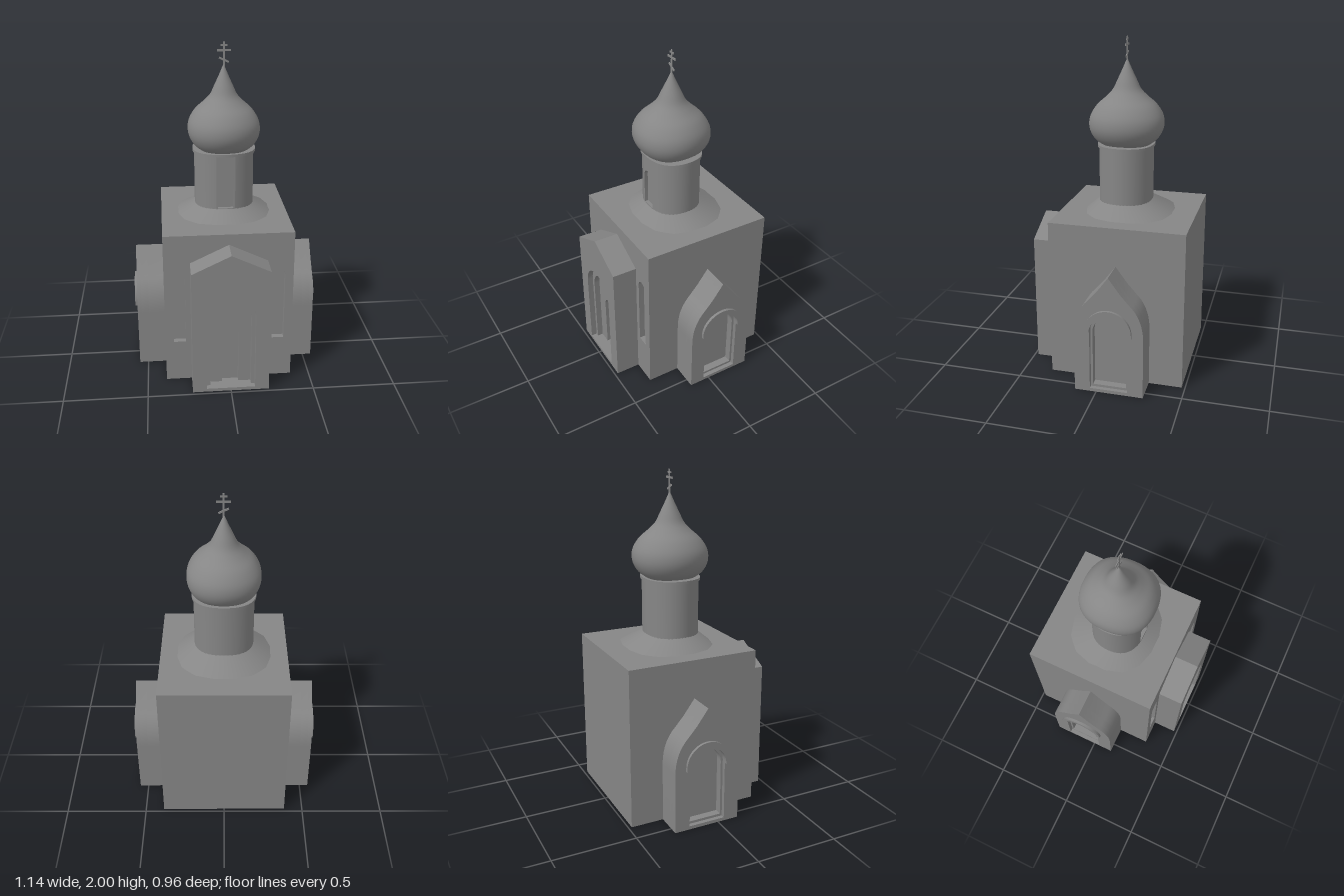
import * as THREE from 'three';
import { toCreasedNormals } from 'three/addons/utils/BufferGeometryUtils.js';

const material = new THREE.MeshStandardMaterial({ color: 0x868686 });

function add(parent, name, geometry) {
  const mesh = new THREE.Mesh(geometry, material);
  mesh.name = name;
  parent.add(mesh);
  return mesh;
}

function box(parent, name, w, h, d, x, y, z) {
  const mesh = add(parent, name, new THREE.BoxGeometry(w, h, d));
  mesh.position.set(x, y, z);
  return mesh;
}

function polygon(points) {
  return new THREE.Shape(points.map(([x, y]) => new THREE.Vector2(x, y)));
}

// Arched opening; a smaller tip makes the head more pointed
function arch(half, bottom, spring, top, cx = 0, tip = 0.55) {
  const rise = spring + (top - spring) * 0.55;
  const s = new THREE.Shape();
  s.moveTo(cx - half, bottom);
  s.lineTo(cx + half, bottom);
  s.lineTo(cx + half, spring);
  s.bezierCurveTo(cx + half, rise, cx + half * tip, top, cx, top);
  s.bezierCurveTo(cx - half * tip, top, cx - half, rise, cx - half, spring);
  s.closePath();
  return s;
}

function slab(outline, holes, depth) {
  const shape = outline.clone();
  shape.holes = holes;
  const geometry = new THREE.ExtrudeGeometry(shape, { depth, bevelEnabled: false, curveSegments: 10 });
  return toCreasedNormals(geometry, 0.5);
}

// Stacks slabs backwards from the front plane, giving stepped recesses
function layered(parent, name, outline, front, layers) {
  let z = front;
  for (const [depth, ...holes] of layers) {
    z -= depth;
    add(parent, name, slab(outline, holes, depth)).position.z = z;
  }
}

// Swells a round form on its diagonals, towards a rounded square
function squarish(geometry) {
  const p = geometry.attributes.position;
  for (let i = 0; i < p.count; i++) {
    const x = p.getX(i), z = p.getZ(i);
    const k = 1 + 0.03 * (1 - Math.cos(4 * Math.atan2(x, z)));
    p.setXYZ(i, x * k, p.getY(i), z * k);
  }
  return geometry;
}

function sidePorch(side) {
  const porch = new THREE.Group();
  porch.name = side > 0 ? 'leftSidePorch' : 'rightSidePorch';

  // Rounded shoulders rising to a straight pointed gable
  const s = new THREE.Shape();
  s.moveTo(-0.205, 0);
  s.lineTo(0.205, 0);
  s.lineTo(0.205, 0.36);
  s.quadraticCurveTo(0.205, 0.5, 0.125, 0.578);
  s.lineTo(0.07, 0.64);
  s.lineTo(0, 0.735);
  s.lineTo(-0.07, 0.64);
  s.lineTo(-0.125, 0.578);
  s.quadraticCurveTo(-0.205, 0.5, -0.205, 0.36);
  s.closePath();
  layered(porch, 'porchWall', s, 0.553, [
    [0.025, arch(0.113, 0.02, 0.39, 0.502, 0, 0.4)],
    [0.045, arch(0.1, 0.035, 0.38, 0.488, 0, 0.35)],
    [0.11]
  ]);

  // Raised band over the niche
  const outer = arch(0.137, 0.375, 0.4, 0.535);
  const inner = arch(0.113, 0.375, 0.39, 0.502, 0, 0.4);
  const band = polygon([
    ...outer.getPoints(10).slice(1, -1).map(p => [p.x, p.y]),
    [-0.137, 0.375],
    ...inner.getPoints(10).slice(0, -1).reverse().slice(0, -1).map(p => [p.x, p.y]),
    [0.113, 0.375]
  ].filter(([x, y], i, all) => !i || Math.hypot(x - all[i - 1][0], y - all[i - 1][1]) > 1e-5));
  add(porch, 'archBand', slab(band, [], 0.02)).position.z = 0.549;

  porch.rotation.y = side * Math.PI / 2;
  porch.position.z = -0.075;
  return porch;
}

function tower() {
  const group = new THREE.Group();
  group.name = 'tower';
  group.position.z = -0.046;
  const R = 0.178, flatten = 0.89, facet = Math.PI / 8;

  // Skirt blending into the drum, its foot a sixteen-sided ring set further back
  const skirt = squarish(new THREE.LatheGeometry(
    [[0.288, 0.965], [R, 1.035], [R, 1.039]].map(([x, y]) => new THREE.Vector2(x, y)), 48, facet / 2));
  const p = skirt.attributes.position;
  for (let i = 0; i < p.count; i++) {
    const x = p.getX(i), z = p.getZ(i);
    if (p.getY(i) > 1) {
      p.setZ(i, z * flatten);
      continue;
    }
    const angle = Math.atan2(x, z);
    const off = angle - Math.round(angle / facet) * facet;
    const k = Math.cos(facet / 2) / Math.cos(off);
    p.setX(i, x * k);
    p.setZ(i, z * k * 0.935 - 0.028);
  }
  add(group, 'drumSkirt', skirt);

  // Drum wall, open where the window panel sits
  const drum = new THREE.Group();
  drum.name = 'drum';
  drum.scale.z = flatten;
  group.add(drum);
  const half = 0.055, gap = Math.asin(half / R);
  add(drum, 'drumWall', squarish(new THREE.LatheGeometry(
    [new THREE.Vector2(R, 1.035), new THREE.Vector2(R, 1.37)], 44, gap, 2 * Math.PI - 2 * gap)));

  // Window panel bent to the curve of the drum
  const steps = [-1, -0.75, -0.5, -0.25, 0, 0.25, 0.5, 0.75, 1].map(t => t * half);
  const outline = polygon([
    ...steps.map(x => [x, 1.03]), ...steps.map(x => [-x, 1.37])
  ]);
  const panel = slab(outline, [arch(0.045, 1.04, 1.23, 1.275)], 0.028);
  const q = panel.attributes.position;
  for (let i = 0; i < q.count; i++) {
    const x = q.getX(i);
    q.setZ(i, q.getZ(i) - 0.028 + Math.sqrt(R * R - x * x));
  }
  add(drum, 'drumWindowSurround', squarish(panel));
  box(drum, 'drumWindowBack', 0.11, 0.33, 0.01, 0, 1.195, 0.145);

  // Collar below the dome
  const collar = add(drum, 'collar', squarish(new THREE.CylinderGeometry(0.188, 0.188, 0.016, 48)));
  collar.position.y = 1.371;

  // Onion dome
  const profile = new THREE.SplineCurve([
    [0.14, 1.376], [0.18, 1.408], [0.206, 1.453], [0.214, 1.5], [0.204, 1.55],
    [0.17, 1.605], [0.12, 1.652], [0.081, 1.695], [0.055, 1.75], [0.028, 1.81], [0.003, 1.87]
  ].map(([x, y]) => new THREE.Vector2(x, y)));
  const dome = add(group, 'onionDome', squarish(new THREE.LatheGeometry(
    [new THREE.Vector2(0, 1.376), ...profile.getPoints(40), new THREE.Vector2(0, 1.873)], 48)));
  dome.scale.z = 1.025;

  // Cross with a slanted lower bar
  const cross = new THREE.Group();
  cross.name = 'cross';
  cross.position.x = 0.002;
  group.add(cross);
  box(cross, 'crossUpright', 0.012, 0.14, 0.005, 0, 1.93, 0);
  box(cross, 'crossTopBar', 0.04, 0.01, 0.005, 0, 1.982, 0);
  box(cross, 'crossMainBar', 0.08, 0.012, 0.005, 0, 1.953, 0);
  box(cross, 'crossLowerBar', 0.062, 0.011, 0.005, 0, 1.898, 0).rotation.z = -0.45;
  return group;
}

export function createModel() {
  const model = new THREE.Group();
  model.name = 'chapel';

  // Main block with a narrow recessed window on each side of the front
  const wall = polygon([[-0.385, 0], [0.385, 0], [0.385, 0.967], [-0.385, 0.967]]);
  const windows = [-1, 1].map(s => arch(0.037, 0.265, 0.695, 0.733, s * 0.298));
  layered(model, 'mainBlock', wall, 0.33, [[0.035, ...windows], [0.775]]);

  // Gabled front porch with stepped portal and door
  const porch = new THREE.Group();
  porch.name = 'frontPorch';
  model.add(porch);
  const gable = polygon([[-0.23, 0], [0.23, 0], [0.23, 0.792], [0, 0.902], [-0.23, 0.792]]);
  layered(porch, 'porchWall', gable, 0.48, [
    [0.035, arch(0.146, 0.02, 0.505, 0.648)],
    [0.035, arch(0.124, 0.02, 0.475, 0.598)],
    [0.03, arch(0.05, 0.02, 0.35, 0.4)],
    [0.06]
  ]);

  model.add(sidePorch(1), sidePorch(-1), tower());
  return model;
}
